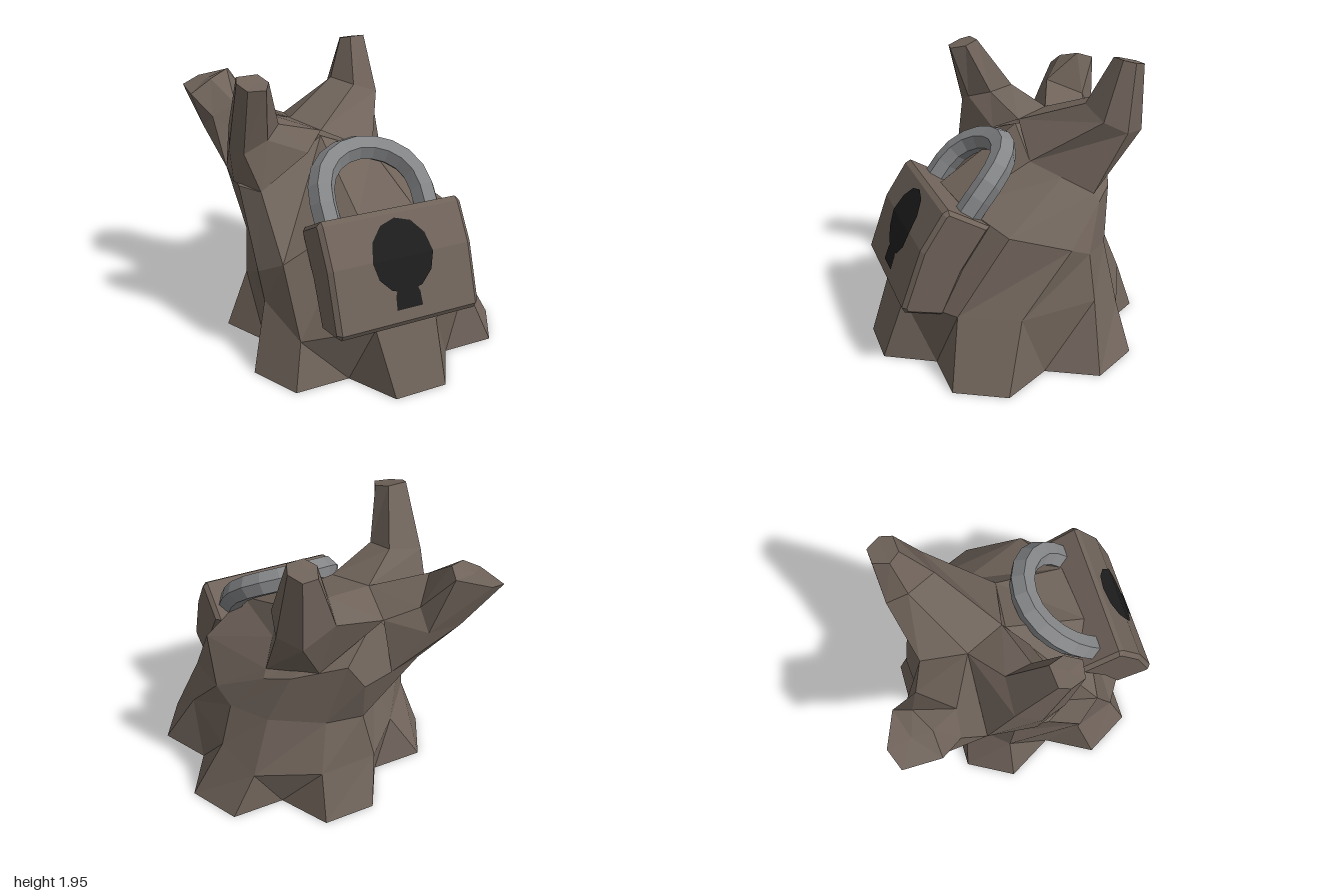
import * as THREE from 'three';

const flat = (name, color, side) => {
  const m = new THREE.MeshStandardMaterial({ color, side, flatShading: true });
  m.name = name;
  return m;
};
const wood = flat('brown wood', 0x6f635a, THREE.DoubleSide); // the stump is open underneath
const steel = flat('grey steel', 0x858688, THREE.FrontSide);
const black = flat('black', 0x1d1d1d, THREE.FrontSide);

const v3 = (p) => new THREE.Vector3(...p);

function add(group, name, geometry, material) {
  const mesh = new THREE.Mesh(geometry, material);
  mesh.name = name;
  group.add(mesh);
}

// geometry from a list of triangle corner points
function fromTriangles(corners) {
  const g = new THREE.BufferGeometry().setFromPoints(corners);
  g.computeVertexNormals();
  return g;
}

// joins two rings of the same length
function skin(out, low, high) {
  low.forEach((a, i) => {
    const j = (i + 1) % low.length;
    out.push(a, low[j], high[j], a, high[j], high[i]);
  });
}

// closes a ring with a fan
function cap(out, ring, centre) {
  ring.forEach((a, i) => out.push(a, ring[(i + 1) % ring.length], centre));
}

function createStump() {
  // base: six splayed roots, two outer corners each, with a valley after each root
  const roots = [
    [-0.16, 0, 1], [0.2, 0, 1], [0.75, 0, 0.68], [0.93, 0, 0.36],
    [0.93, 0, -0.28], [0.75, 0, -0.6], [0.2, 0, -0.91], [-0.16, 0, -0.91],
    [-0.72, 0, -0.6], [-0.9, 0, -0.28], [-0.9, 0, 0.36], [-0.72, 0, 0.68],
  ].map(v3);
  const valleys = [
    [0.39, 0, 0.68], [0.75, 0, 0.04], [0.39, 0, -0.6],
    [-0.35, 0, -0.6], [-0.72, 0, 0.04], [-0.35, 0, 0.68],
  ].map(v3);
  const knees = [
    [-0.23, 0.44, 0.83], [0.2, 0.42, 0.84], [0.58, 0.44, 0.58], [0.74, 0.42, 0.2],
    [0.71, 0.44, -0.33], [0.58, 0.3, -0.57], [0.18, 0.35, -0.79], [-0.24, 0.32, -0.75],
    [-0.5, 0.36, -0.52], [-0.74, 0.42, -0.26], [-0.77, 0.47, 0.25], [-0.64, 0.3, 0.57],
  ].map(v3);
  const waist = [
    [-0.18, 1.06, 0.45], [0.23, 1.05, 0.42], [0.59, 0.94, 0.23], [0.67, 0.82, -0.17],
    [0.63, 0.75, -0.32], [0.45, 0.72, -0.52], [0.1, 0.68, -0.67], [-0.16, 0.67, -0.7],
    [-0.37, 0.7, -0.46], [-0.73, 0.78, -0.22], [-0.8, 0.69, 0.24], [-0.68, 0.79, 0.4],
  ].map(v3);
  const crown = [
    [-0.2, 1.42, -0.12], [0.17, 1.27, -0.08], [0.295, 1.175, -0.265], [0.42, 1.08, -0.44],
    [0.45, 1.03, -0.47], [0.32, 1.08, -0.6], [0.0, 1.17, -0.75], [-0.1, 1.02, -0.8],
    [-0.5, 1.1, -0.76], [-0.79, 1.18, -0.42], [-0.82, 1.2, -0.02], [-0.72, 1.2, 0.14],
  ].map(v3);
  const t = [];
  for (let r = 0; r < 6; r++) {
    const i = r * 2, n = (i + 2) % 12, v = valleys[r];
    const [a, b, c] = [roots[i], roots[i + 1], roots[n]];
    const [ka, kb, kc] = [knees[i], knees[i + 1], knees[n]];
    t.push(a, b, kb, a, kb, ka, b, v, kb, kb, v, kc, v, c, kc);
  }
  skin(t, knees, waist);
  skin(t, waist, crown);
  cap(t, crown, v3([-0.25, 1.4, -0.62]));
  return fromTriangles(t);
}

// limb from six-point rings, base to tip, each running left, front, right, back
function createLimb(sections) {
  const rings = sections.map((ring) => ring.map(v3));
  const tip = rings[rings.length - 1];
  const centre = new THREE.Vector3();
  tip.forEach((p) => centre.addScaledVector(p, 1 / tip.length));
  const t = [];
  for (let i = 0; i < rings.length - 1; i++) skin(t, rings[i], rings[i + 1]);
  cap(t, tip, centre);
  return fromTriangles(t);
}

// points shared where the limbs meet
const FORK = [-0.32, 1.48, -0.4];
const SADDLE = [-0.19, 1.45, -0.14];
const NAPE = [-0.26, 1.42, -0.7];
const ARMPIT = [-0.79, 1.18, -0.42];

const LIMBS = {
  frontLimb: [
    [[-0.83, 1.2, -0.1], [-0.72, 1.2, 0.14], [-0.34, 1.36, 0.0], SADDLE, FORK, ARMPIT],
    [[-0.85, 1.45, -0.08], [-0.8, 1.45, 0.08], [-0.64, 1.52, 0.08],
      [-0.52, 1.57, -0.05], [-0.56, 1.6, -0.23], [-0.8, 1.55, -0.24]],
    [[-0.82, 1.91, 0.08], [-0.78, 1.88, 0.18], [-0.67, 1.88, 0.2],
      [-0.62, 1.9, 0.1], [-0.66, 1.93, 0.0], [-0.8, 1.93, 0.01]],
  ],
  sideLimb: [
    [FORK, SADDLE, [0.17, 1.27, -0.08], [0.42, 1.08, -0.44], [0.16, 1.125, -0.675], NAPE],
    [[0.1, 1.66, -0.65], [0.2, 1.64, -0.46], [0.4, 1.56, -0.5],
      [0.44, 1.48, -0.66], [0.34, 1.46, -0.82], [0.12, 1.56, -0.8]],
    [[0.2, 1.93, -0.7], [0.25, 1.95, -0.63], [0.36, 1.95, -0.64],
      [0.39, 1.93, -0.72], [0.34, 1.91, -0.81], [0.24, 1.91, -0.8]],
  ],
  backLimb: [
    [ARMPIT, [-0.55, 1.33, -0.41], FORK, NAPE, [-0.3, 1.06, -0.78], [-0.5, 1.1, -0.76]],
    [[-0.86, 1.4, -0.72], [-0.82, 1.5, -0.58], [-0.66, 1.58, -0.56],
      [-0.47, 1.5, -0.77], [-0.49, 1.36, -0.86], [-0.68, 1.4, -0.91]],
    [[-0.93, 1.65, -0.95], [-0.93, 1.64, -0.71], [-0.78, 1.73, -0.72],
      [-0.64, 1.77, -0.8], [-0.6, 1.74, -0.91], [-0.8, 1.69, -1.0]],
  ],
};

const LOCK_X = -0.02;
// depth of the bent lock face at height y
const faceZ = (y) => (y > 0.89 ? 0.77 - (y - 0.89) * 0.667 : 0.77 + (0.89 - y) * 0.368);

function createLock() {
  const lock = new THREE.Group();
  lock.name = 'padlock';

  // body: bent side profile (z, y) extruded across x with chamfered ends
  const profile = new THREE.Shape([
    [0.64, 0.4], [0.89, 0.47], [faceZ(0.51), 0.51], [0.77, 0.89], [faceZ(1.12), 1.12],
    [0.58, 1.14], [0.31, 0.98], [0.5, 0.7],
  ].map((p) => new THREE.Vector2(...p)));
  const body = new THREE.ExtrudeGeometry(profile, {
    depth: 0.94, bevelEnabled: true, bevelThickness: 0.03,
    bevelSize: 0.025, bevelOffset: -0.025, bevelSegments: 1,
  });
  body.translate(0, 0, -0.47).rotateY(-Math.PI / 2).translate(LOCK_X, 0, 0);
  add(lock, 'lockBody', body, wood);

  // keyhole: thin plates laid on the bent face
  const round = new THREE.CircleGeometry(0.21, 12).translate(LOCK_X, 0.89, 0);
  const slot = new THREE.ShapeGeometry(new THREE.Shape([
    [-0.09, 0.585], [0.09, 0.585], [0.085, 0.67], [0.05, 0.75], [0.05, 0.78],
    [-0.05, 0.78], [-0.05, 0.75], [-0.085, 0.67],
  ].map((p) => new THREE.Vector2(...p)))).translate(LOCK_X, 0, 0);
  for (const [name, g, lift] of [['keyholeRound', round, 0.008], ['keyholeSlot', slot, 0.006]]) {
    const pos = g.attributes.position;
    for (let i = 0; i < pos.count; i++) pos.setZ(i, faceZ(pos.getY(i)) + lift);
    g.computeVertexNormals();
    add(lock, name, g, black);
  }

  // shackle: leaning horseshoe tube, bowed forward
  const along = (x, s) => {
    const bow = 0.03 * Math.sin(Math.PI * s / 0.49);
    return new THREE.Vector3(
      LOCK_X + x, 1.03 + s * 0.687 + bow * 0.727, 0.42 - s * 0.727 + bow * 0.687);
  };
  const path = [along(0.355, -0.1), along(0.355, 0.03)];
  for (let i = 0; i <= 8; i++) {
    const a = (i / 8) * Math.PI;
    path.push(along(Math.cos(a) * 0.355, 0.13 + Math.sin(a) * 0.36));
  }
  path.push(along(-0.355, 0.03), along(-0.355, -0.1));
  const curve = new THREE.CatmullRomCurve3(path);
  add(lock, 'shackle', new THREE.TubeGeometry(curve, 14, 0.09, 6), steel);
  return lock;
}

export function createModel() {
  const model = new THREE.Group();
  model.name = 'lockedStump';
  add(model, 'stump', createStump(), wood);
  for (const [name, sections] of Object.entries(LIMBS)) {
    add(model, name, createLimb(sections), wood);
  }
  model.add(createLock());
  return model;
}
